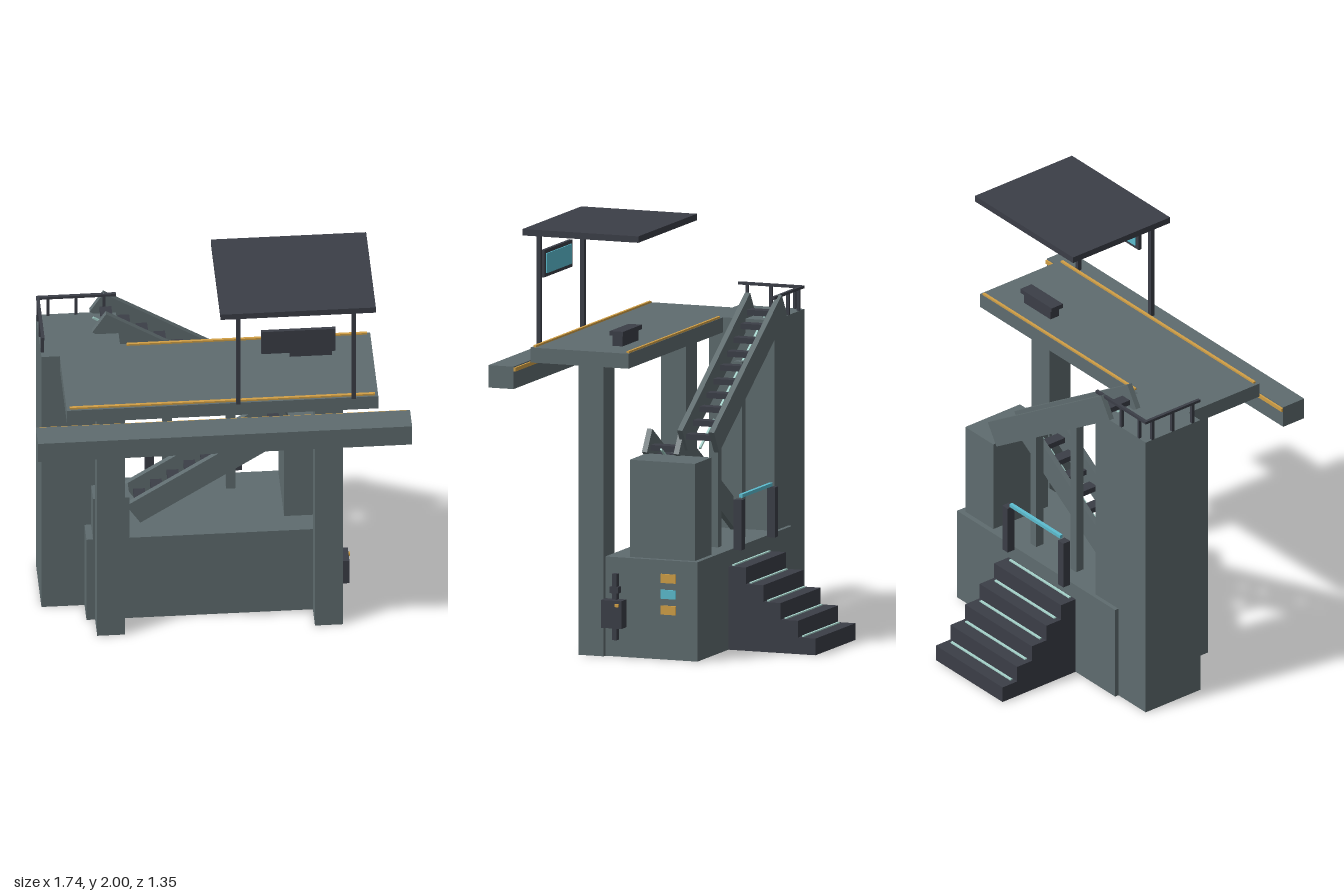
import * as THREE from 'three';

const flat = (name, color) => {
  const m = new THREE.MeshStandardMaterial({ color });
  m.name = name;
  return m;
};

export function createModel() {
  const root = new THREE.Group();
  root.name = 'elevatedPlatform';
  const concrete = flat('concrete grey', 0x5f6c6f);
  const dark = flat('dark metal', 0x3b3e47);
  const amber = flat('amber', 0xd2a046);
  const cyan = flat('cyan light', 0x5cbdd0);
  const mint = flat('pale mint', 0xa6d3cb);

  // Box given by its limits on each axis
  const box = (name, mat, x0, x1, y0, y1, z0, z1, parent = root) => {
    const mesh = new THREE.Mesh(new THREE.BoxGeometry(x1 - x0, y1 - y0, z1 - z0), mat);
    mesh.position.set((x0 + x1) / 2, (y0 + y1) / 2, (z0 + z1) / 2);
    mesh.name = name;
    parent.add(mesh);
    return mesh;
  };

  // Base, tower, landing and supports
  box('base', concrete, -0.61, 0.55, 0, 0.465, -0.24, 0.22);
  box('tower', concrete, -0.81, -0.44, 0, 1.45, -0.22, 0.105);
  box('midLanding', concrete, 0.315, 0.52, 0.465, 0.92, -0.215, 0.11);
  box('sideBlock', concrete, -0.58, -0.41, 0.465, 0.7, 0.115, 0.22);
  box('leftPillar', concrete, -0.57, -0.44, 0, 1.38, 0.22, 0.345);
  box('rightPillar', concrete, 0.44, 0.57, 0, 1.38, 0.22, 0.345);

  // Platform and the separate beam in front of it
  box('platform', concrete, -0.725, 0.72, 1.38, 1.45, 0.035, 0.525);
  box('frontEdgeLine', amber, -0.71, 0.705, 1.45, 1.459, 0.503, 0.516);
  box('backEdgeLine', amber, -0.41, 0.705, 1.45, 1.459, 0.038, 0.05);
  box('frontBeam', concrete, -0.87, 0.865, 1.275, 1.38, 0.55, 0.675);
  box('beamLine', amber, -0.87, 0.865, 1.357, 1.375, 0.541, 0.55);

  // Canopy with posts, display and lamp
  const canopy = new THREE.Group();
  canopy.name = 'canopy';
  root.add(canopy);
  box('roof', dark, -0.015, 0.705, 1.97, 2, -0.008, 0.57, canopy);
  for (const x of [0.07, 0.605]) box('canopyPost', dark, x - 0.01, x + 0.01, 1.45, 1.97, 0.517, 0.537, canopy);
  box('display', dark, 0.175, 0.52, 1.748, 1.875, 0.537, 0.554, canopy);
  box('displayScreen', cyan, 0.195, 0.5, 1.765, 1.858, 0.531, 0.537, canopy);
  box('roofLamp', cyan, 0.297, 0.393, 1.951, 1.97, 0.27, 0.29, canopy);

  // Bench
  box('benchBase', dark, 0.335, 0.53, 1.45, 1.5, 0.142, 0.192);
  box('benchSeat', dark, 0.315, 0.545, 1.5, 1.521, 0.133, 0.2);

  // Guard rail on the tower
  const rail = new THREE.Group();
  rail.name = 'towerRailing';
  root.add(rail);
  box('leftRail', dark, -0.81, -0.795, 1.547, 1.56, -0.22, 0.105, rail);
  box('backRail', dark, -0.795, -0.44, 1.547, 1.56, -0.22, -0.205, rail);
  for (const z of [0.063, -0.056, -0.175]) box('railPost', dark, -0.81, -0.796, 1.45, 1.547, z - 0.007, z + 0.007, rail);
  for (const x of [-0.755, -0.625, -0.495]) box('railPost', dark, x - 0.007, x + 0.007, 1.45, 1.547, -0.22, -0.206, rail);

  // Stair flight: sloped stringers and light strip, with open treads
  const flight = (name, x0, y0, x1, y1, z, steps) => {
    const g = new THREE.Group();
    g.name = name;
    root.add(g);
    const run = x1 - x0, rise = y1 - y0, len = Math.hypot(run, rise);
    const slope = new THREE.Group();
    slope.name = 'slope';
    slope.position.set((x0 + x1) / 2, (y0 + y1) / 2 + 0.06, z);
    slope.rotation.z = Math.atan(rise / run);
    g.add(slope);
    for (const s of [-1, 1])
      box('stringer', concrete, -len / 2, len / 2, -0.06, 0.06, s * 0.079 - 0.013, s * 0.079 + 0.013, slope);
    box('stairLight', mint, -len / 2, len / 2, -0.045, -0.037, -0.005, 0.005, slope);
    for (let i = 0; i < steps; i++) {
      const t = (i + 0.5) / steps, x = x0 + run * t, y = y0 + rise * t + 0.05;
      box('tread', dark, x - 0.027, x + 0.027, y - 0.013, y + 0.013, z - 0.066, z + 0.066, g);
    }
  };
  flight('lowerStairs', -0.385, 0.465, 0.3125, 0.92, 0.029, 9);
  flight('upperStairs', 0.3, 0.928, -0.53, 1.452, -0.142, 10);

  // Posts carrying the upper stairs
  box('stairPost', concrete, -0.23, -0.187, 0.465, 1.29, -0.163, -0.12);
  box('stairPost', concrete, 0.064, 0.107, 0.465, 1.1, -0.163, -0.12);

  // Entry steps at the back, each with a nosing strip
  const entry = new THREE.Group();
  entry.name = 'entrySteps';
  root.add(entry);
  for (let i = 0; i < 5; i++) {
    const z = -0.24 - i * 0.087, top = 0.39 - i * 0.078;
    box('entryStep', dark, -0.32, 0.17, 0, top, z - 0.087, z, entry);
    box('stepNosing', mint, -0.295, 0.145, top, top + 0.006, z - 0.02, z - 0.008, entry);
  }

  // Gate above the entry steps
  for (const x of [-0.28, 0.128]) box('gatePost', dark, x - 0.02, x + 0.02, 0.465, 0.7, -0.297, -0.256);
  box('gateRail', cyan, -0.26, 0.11, 0.705, 0.721, -0.285, -0.268);

  // Signal panels on the left side wall
  [[0.38, amber], [0.306, cyan], [0.232, amber]].forEach(([y, mat]) =>
    box('signalPanel', mat, 0.55, 0.558, y - 0.021, y + 0.021, -0.133, -0.06));

  // Control box with conduit
  box('controlBox', dark, 0.55, 0.61, 0.14, 0.27, 0.115, 0.218);
  box('conduit', dark, 0.55, 0.578, 0.08, 0.39, 0.152, 0.176);
  box('conduitCollar', dark, 0.55, 0.583, 0.3, 0.33, 0.142, 0.186);
  box('controlLamp', amber, 0.61, 0.619, 0.242, 0.256, 0.128, 0.146);

  return root;
}
